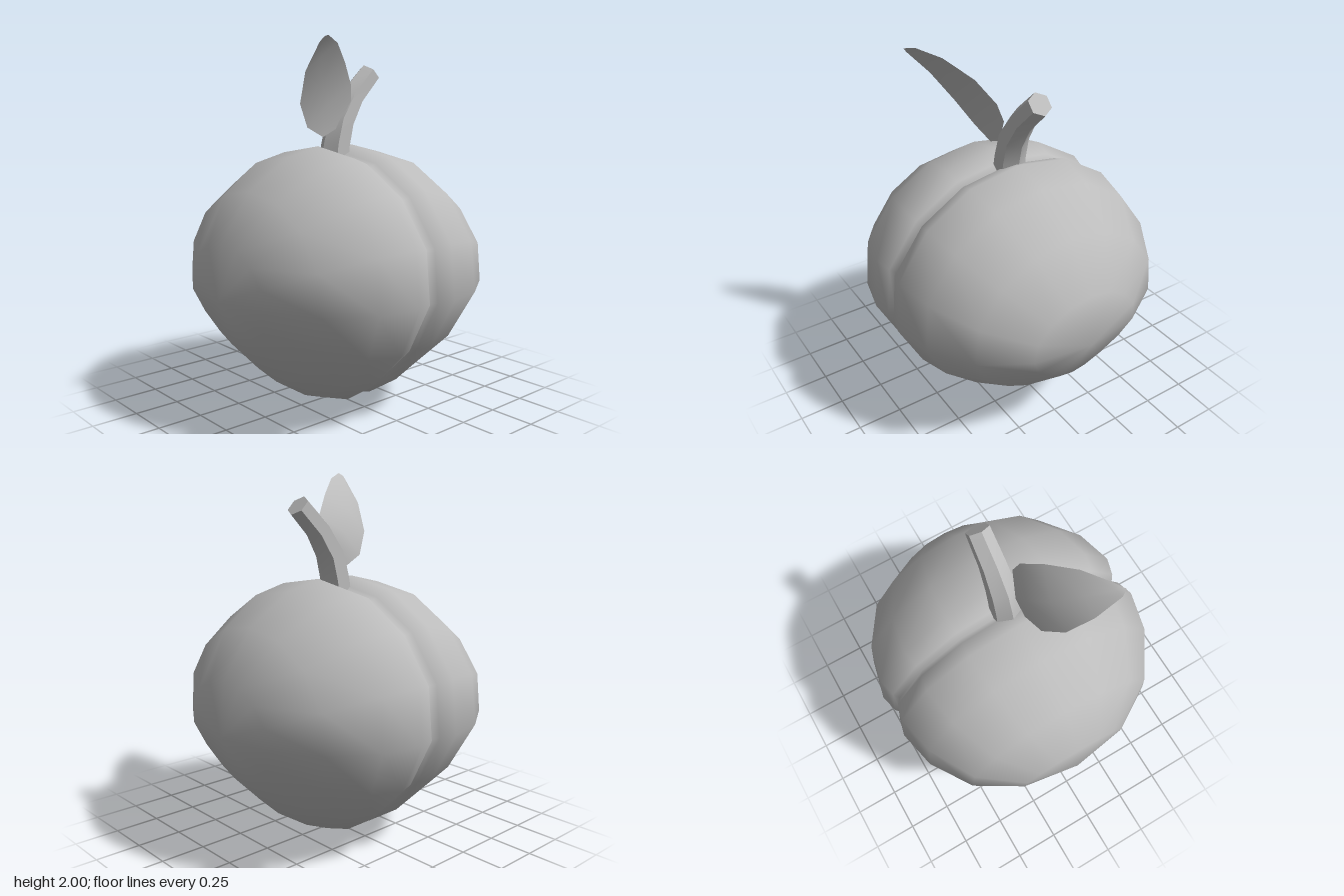
import * as THREE from 'three';
import { toCreasedNormals } from 'three/addons/utils/BufferGeometryUtils.js';

const V = (x, y, z) => new THREE.Vector3(x, y, z);

// Closed skin through rings of points, with a single point closing each end
function loft(start, rings, end) {
  const n = rings[0].length, last = rings.length - 1;
  const points = [start, ...rings.flat(), end];
  const id = (i, j) => 1 + i * n + (j % n);
  const index = [];
  for (let j = 0; j < n; j++) {
    index.push(0, id(0, j + 1), id(0, j));
    for (let i = 0; i < last; i++) {
      const a = id(i, j), b = id(i, j + 1), c = id(i + 1, j + 1), d = id(i + 1, j);
      index.push(a, b, c, a, c, d);
    }
    index.push(id(last, j), id(last, j + 1), points.length - 1);
  }
  const geometry = new THREE.BufferGeometry().setFromPoints(points);
  geometry.setIndex(index);
  geometry.computeVertexNormals();
  return geometry;
}

// Two plump lobes meeting in a groove at z = 0
function fruitGeometry() {
  const mid = 0.69;
  const half = [[0, 0], [0.2, 0.05], [0.4, 0.18], [0.63, 0.41], [0.77, 0.69], [0.74, 0.98], [0.56, 1.23], [0.3, 1.39], [0, 1.44]];
  const outline = [...half, ...half.slice(1, -1).reverse().map(([x, y]) => [-x, y])];
  // half width, top y, bottom y, then z at the top, side and bottom
  const sections = [
    [0.72, 1.38, 0.05, 0, 0, 0],
    [0.745, 1.405, 0.025, 0.03, 0.03, 0.02],
    [0.77, 1.44, 0, 0.12, 0.13, 0.08],
    [0.72, 1.39, 0.05, 0.33, 0.35, 0.22],
    [0.57, 1.23, 0.18, 0.58, 0.58, 0.42],
    [0.32, 0.98, 0.4, 0.75, 0.73, 0.64],
  ];
  const ring = ([width, top, bottom, zTop, zSide, zBottom], side) => outline.map(([x, y]) => {
    const up = y > mid;
    const v = up ? (y - mid) / (1.44 - mid) : (mid - y) / mid;
    return V((x / 0.77) * width,
      mid + v * ((up ? top : bottom) - mid),
      side * THREE.MathUtils.lerp(zSide, up ? zTop : zBottom, v));
  });
  const rings = [
    ...sections.slice(1).reverse().map((s) => ring(s, -1)),
    ...sections.map((s) => ring(s, 1)),
  ];
  return loft(V(0, mid, -0.78), rings, V(0, mid, 0.78));
}

// Six-sided stem bending backwards
function stemGeometry() {
  const path = [
    [1.32, 0, 0.088], [1.44, -0.015, 0.083], [1.57, -0.05, 0.08], [1.7, -0.135, 0.07], [1.83, -0.27, 0.064],
  ];
  const centres = path.map(([y, z]) => V(-0.012, y, z));
  const rings = centres.map((c, i) => {
    const t = centres[Math.min(i + 1, 4)].clone().sub(centres[Math.max(i - 1, 0)]).normalize();
    const n = V(0, t.z, -t.y);
    return Array.from({ length: 6 }, (_, k) => {
      const a = Math.PI / 6 + (k * Math.PI) / 3, r = path[i][2];
      return c.clone().add(V(r * Math.cos(a), 0, 0)).addScaledVector(n, r * Math.sin(a));
    });
  });
  return toCreasedNormals(loft(centres[0], rings, centres[4]), 1);
}

// Slightly cupped leaf between an upper and a lower edge
function leafGeometry() {
  const rows = [
    [V(0.06, 1.68, -0.065), V(0.03, 1.49, 0.11)],
    [V(0.085, 1.77, -0.04), V(0.05, 1.545, 0.235)],
    [V(0.15, 1.88, 0.06), V(0.115, 1.67, 0.335)],
    [V(0.25, 1.97, 0.2), V(0.225, 1.83, 0.388)],
    [V(0.33, 2, 0.33), V(0.345, 1.96, 0.4)],
  ];
  const normal = V(0.86, -0.45, -0.23);
  const rings = rows.map(([upper, lower]) => {
    const rib = upper.clone().lerp(lower, 0.5);
    const depth = upper.distanceTo(lower);
    return [
      upper,
      rib.clone().addScaledVector(normal, -0.1 * depth),
      lower,
      rib.clone().addScaledVector(normal, -0.02 * depth),
    ];
  });
  return toCreasedNormals(loft(V(0.03, 1.53, 0.02), rings, V(0.37, 1.99, 0.385)), 1);
}

export function createModel() {
  const grey = new THREE.MeshStandardMaterial({ color: 0xbcbcbc });
  grey.name = 'light grey';
  const group = new THREE.Group();
  group.name = 'fruit with leaf';
  const parts = { fruit: fruitGeometry(), stem: stemGeometry(), leaf: leafGeometry() };
  for (const [name, geometry] of Object.entries(parts)) {
    const mesh = new THREE.Mesh(geometry, grey);
    mesh.name = name;
    group.add(mesh);
  }
  return group;
}
